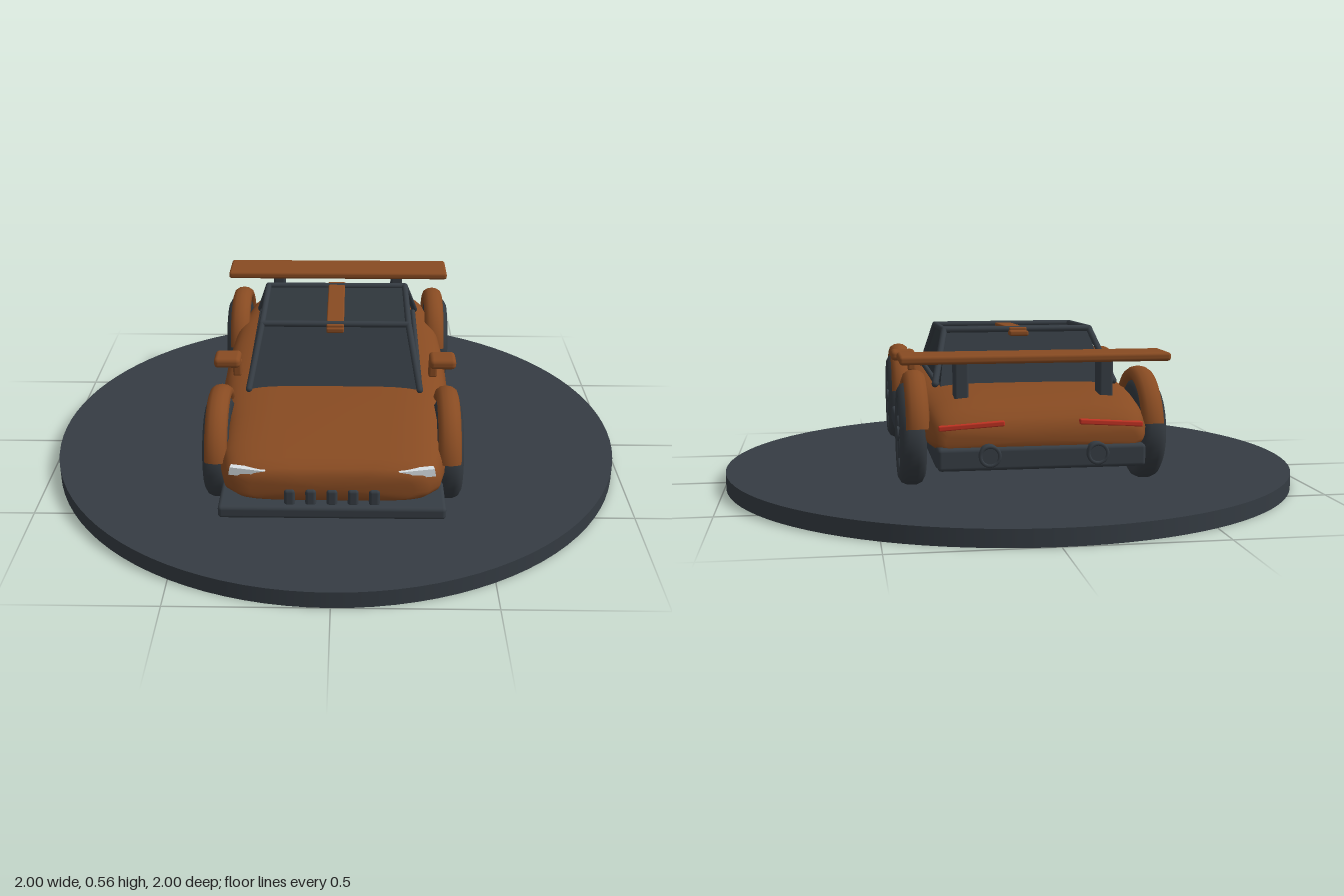
import * as THREE from 'three';
import { RoundedBoxGeometry } from 'three/addons/geometries/RoundedBoxGeometry.js';

const mat = (name, color, side = THREE.FrontSide) => {
  const m = new THREE.MeshStandardMaterial({ color, side });
  m.name = name;
  return m;
};

export function createModel() {
  const paint = mat('copper paint', 0x884b22);
  const stand = mat('slate stand', 0x353c43);
  const trim = mat('dark trim', 0x363d44);
  const rubber = mat('tyre rubber', 0x343a40);
  const glass = mat('tinted glass', 0x2f363c);
  const red = mat('signal red', 0xc03222);
  const white = mat('lamp white', 0xd9e0e4);

  const car = new THREE.Group();
  car.name = 'sportsCarOnStand';

  function add(name, geometry, material, x = 0, y = 0, z = 0, parent = car) {
    const mesh = new THREE.Mesh(geometry, material);
    mesh.name = name;
    mesh.position.set(x, y, z);
    parent.add(mesh);
    return mesh;
  }
  const box = (w, h, d, r = 0.01) => new RoundedBoxGeometry(w, h, d, 3, Math.min(r, w / 2.1, h / 2.1, d / 2.1));

  // Rod joining two points
  function rod(name, a, b, r) {
    const p = new THREE.Vector3(...a), q = new THREE.Vector3(...b);
    const dir = q.clone().sub(p);
    const m = add(name, new THREE.CapsuleGeometry(r, dir.length(), 4, 10), trim);
    m.position.copy(p).add(q).multiplyScalar(0.5);
    m.quaternion.setFromUnitVectors(new THREE.Vector3(0, 1, 0), dir.normalize());
  }

  // Round stand
  add('stand', new THREE.CylinderGeometry(1, 1, 0.055, 96), stand, 0, 0.0275, 0);

  // Body shell: rounded cross-sections [z, halfWidth, bottom, top]
  const sections = [
    [0.74, 0, 0.25, 0.25], [0.74, 0.25, 0.21, 0.29], [0.725, 0.3, 0.2, 0.312], [0.69, 0.335, 0.195, 0.328],
    [0.62, 0.352, 0.19, 0.345], [0.45, 0.36, 0.19, 0.364], [0.3, 0.378, 0.185, 0.378], [0.15, 0.392, 0.185, 0.382],
    [-0.1, 0.395, 0.185, 0.384], [-0.28, 0.388, 0.185, 0.384], [-0.43, 0.365, 0.19, 0.38], [-0.56, 0.35, 0.195, 0.365],
    [-0.63, 0.338, 0.2, 0.345], [-0.675, 0.32, 0.21, 0.315], [-0.695, 0.295, 0.22, 0.285], [-0.695, 0, 0.25, 0.25],
  ];
  const N = 48, pos = [], idx = [];
  const power = (v, e) => Math.sign(v) * Math.abs(v) ** e;
  sections.forEach(([z, w, lo, hi], i) => {
    for (let j = 0; j < N; j++) {
      const t = (j / N) * Math.PI * 2;
      const s = power(Math.sin(t), 0.5);
      const taper = s > 0 ? 1 - 0.06 * s : 1;
      pos.push(w * taper * power(Math.cos(t), 0.4), (lo + hi) / 2 + (s * (hi - lo)) / 2, z);
      if (i < sections.length - 1) {
        const k = (j + 1) % N, a = i * N + j, b = i * N + k;
        idx.push(a, a + N, b, b, a + N, b + N);
      }
    }
  });
  const shell = new THREE.BufferGeometry();
  shell.setAttribute('position', new THREE.Float32BufferAttribute(pos, 3));
  shell.setIndex(idx);
  shell.computeVertexNormals();
  add('bodyShell', shell, paint);

  // Floor, splitter and rear diffuser
  add('floor', box(0.64, 0.06, 1.28), trim, 0, 0.185, 0.02);
  add('frontSplitter', box(0.7, 0.042, 0.18, 0.012), trim, 0, 0.176, 0.675);
  add('rearDiffuser', box(0.64, 0.07, 0.13, 0.012), trim, 0, 0.197, -0.645);

  // Cabin glass: box drawn in toward the roof
  const cabinGeo = new THREE.BoxGeometry(2, 1, 2);
  const cp = cabinGeo.attributes.position;
  for (let i = 0; i < cp.count; i++) {
    const top = cp.getY(i) > 0, front = cp.getZ(i) > 0;
    const z = top ? (front ? 0.135 : -0.205) : (front ? 0.305 : -0.365);
    cp.setXYZ(i, cp.getX(i) * (top ? 0.245 : 0.28), top ? (front ? 0.532 : 0.542) : 0.365, z);
  }
  cabinGeo.computeVertexNormals();
  add('cabinGlass', cabinGeo, glass);

  // Roof frame
  rod('frontRoofBar', [-0.25, 0.538, 0.135], [0.25, 0.538, 0.135], 0.011);
  rod('rearRoofBar', [-0.25, 0.546, -0.205], [0.25, 0.546, -0.205], 0.011);

  // Roof stripe with a small fin at the back
  const stripe = add('roofStripe', box(0.06, 0.014, 0.38, 0.005), paint, 0, 0.541, -0.035);
  stripe.rotation.x = 0.03;
  add('roofStripeFrontTip', box(0.06, 0.018, 0.03, 0.005), paint, 0, 0.525, 0.15);
  add('roofFin', box(0.065, 0.018, 0.04, 0.006), paint, 0, 0.535, -0.232);

  // Rear wing
  add('rearWing', box(0.85, 0.027, 0.15, 0.01), paint, 0, 0.487, -0.535);

  // Grille teeth
  for (let i = -2; i <= 2; i++) add('grilleTooth', box(0.034, 0.058, 0.05, 0.01), trim, i * 0.065, 0.218, 0.722);

  // Wheel parts
  const profile = [[0.105, -0.038], [0.14, -0.042], [0.157, -0.032], [0.165, -0.014], [0.165, 0.014],
    [0.157, 0.032], [0.14, 0.042], [0.122, 0.04], [0.112, 0.03], [0.105, 0.018], [0.105, -0.038]]
    .map(([r, h]) => new THREE.Vector2(r, h));
  const tyreGeo = new THREE.LatheGeometry(profile, 48).rotateZ(-Math.PI / 2);
  const discGeo = new THREE.CylinderGeometry(0.108, 0.108, 0.05, 40).rotateZ(Math.PI / 2);
  const hubGeo = new THREE.CylinderGeometry(0.024, 0.028, 0.03, 20).rotateZ(-Math.PI / 2);
  const rimGeo = new THREE.TorusGeometry(0.112, 0.009, 8, 48).rotateY(Math.PI / 2);
  const spokeGeo = box(0.016, 0.1, 0.022, 0.005).translate(0, 0.06, 0);
  const archGeo = new THREE.TorusGeometry(0.178, 0.026, 12, 40, Math.PI * 0.86)
    .rotateZ(Math.PI * 0.07).rotateY(Math.PI / 2).scale(1.4, 1, 1);

  function wheel(name, s, x, z) {
    const g = new THREE.Group();
    g.name = name;
    g.position.set(s * x, 0.235, z);
    if (s < 0) g.rotation.y = Math.PI;
    add('tyre', tyreGeo, rubber, 0, 0, 0, g);
    add('wheelDisc', discGeo, glass, -0.012, 0, 0, g);
    add('rim', rimGeo, trim, 0.03, 0, 0, g);
    add('hub', hubGeo, trim, 0.028, 0, 0, g);
    for (let i = 0; i < 5; i++) add('spoke', spokeGeo, trim, 0.03, 0, 0, g).rotation.x = (i * Math.PI * 2) / 5;
    add('brakeCaliper', box(0.03, 0.08, 0.045, 0.012), red, 0.017, 0, s * 0.065, g);
    car.add(g);
  }

  // Lamp outline, larger at its outer end
  const lampShape = new THREE.Shape([[0.2, 0.307], [0.31, 0.311], [0.315, 0.285], [0.255, 0.283], [0.235, 0.298]]
    .map(([x, y]) => new THREE.Vector2(x - 0.26, y - 0.297)));

  // Paired parts on both sides
  for (const s of [1, -1]) {
    const side = s > 0 ? 'left' : 'right';
    wheel(side + 'FrontWheel', s, 0.372, 0.45);
    wheel(side + 'RearWheel', s, 0.382, -0.43);
    add(side + 'FrontArch', archGeo, paint, s * 0.367, 0.235, 0.45);
    add(side + 'RearArch', archGeo, paint, s * 0.37, 0.235, -0.43);
    add(side + 'SideSkirt', box(0.07, 0.06, 0.62), trim, s * 0.37, 0.185, 0.01);

    // Pillars and rails
    rod(side + 'FrontPillar', [s * 0.285, 0.375, 0.31], [s * 0.25, 0.538, 0.135], 0.011);
    rod(side + 'RearPillar', [s * 0.297, 0.385, -0.375], [s * 0.25, 0.546, -0.205], 0.011);
    rod(side + 'RoofRail', [s * 0.25, 0.538, 0.135], [s * 0.25, 0.546, -0.205], 0.011);
    rod(side + 'WindowSill', [s * 0.285, 0.38, 0.3], [s * 0.29, 0.385, -0.36], 0.009);

    // Mirror on a short arm
    add(side + 'Mirror', box(0.09, 0.037, 0.085, 0.015), paint, s * 0.367, 0.424, 0.18);
    add(side + 'MirrorArm', box(0.03, 0.06, 0.03, 0.008), paint, s * 0.335, 0.395, 0.18);

    add(side + 'WingSupport', box(0.045, 0.13, 0.07, 0.008), trim, s * 0.23, 0.415, -0.518);

    // Lamps and exhaust
    const lamp = new THREE.ExtrudeGeometry(lampShape, { depth: 0.02, bevelEnabled: false });
    if (s < 0) lamp.rotateY(Math.PI).translate(0, 0, 0.02);
    const head = add(side + 'Headlight', lamp, white, s * 0.26, 0.297, 0.708);
    head.rotation.y = s * 0.15;
    const tail = add(side + 'TailLight', box(0.2, 0.016, 0.02, 0.004), red, s * 0.215, 0.296, -0.683);
    tail.rotation.set(0, s * -0.05, s * -0.07);
    const pipe = new THREE.CylinderGeometry(0.033, 0.033, 0.06, 24).rotateX(Math.PI / 2);
    add(side + 'Exhaust', pipe, trim, s * 0.165, 0.21, -0.7);
    add(side + 'ExhaustRim', new THREE.TorusGeometry(0.029, 0.006, 8, 24), trim, s * 0.165, 0.21, -0.728);
  }
  return car;
}
